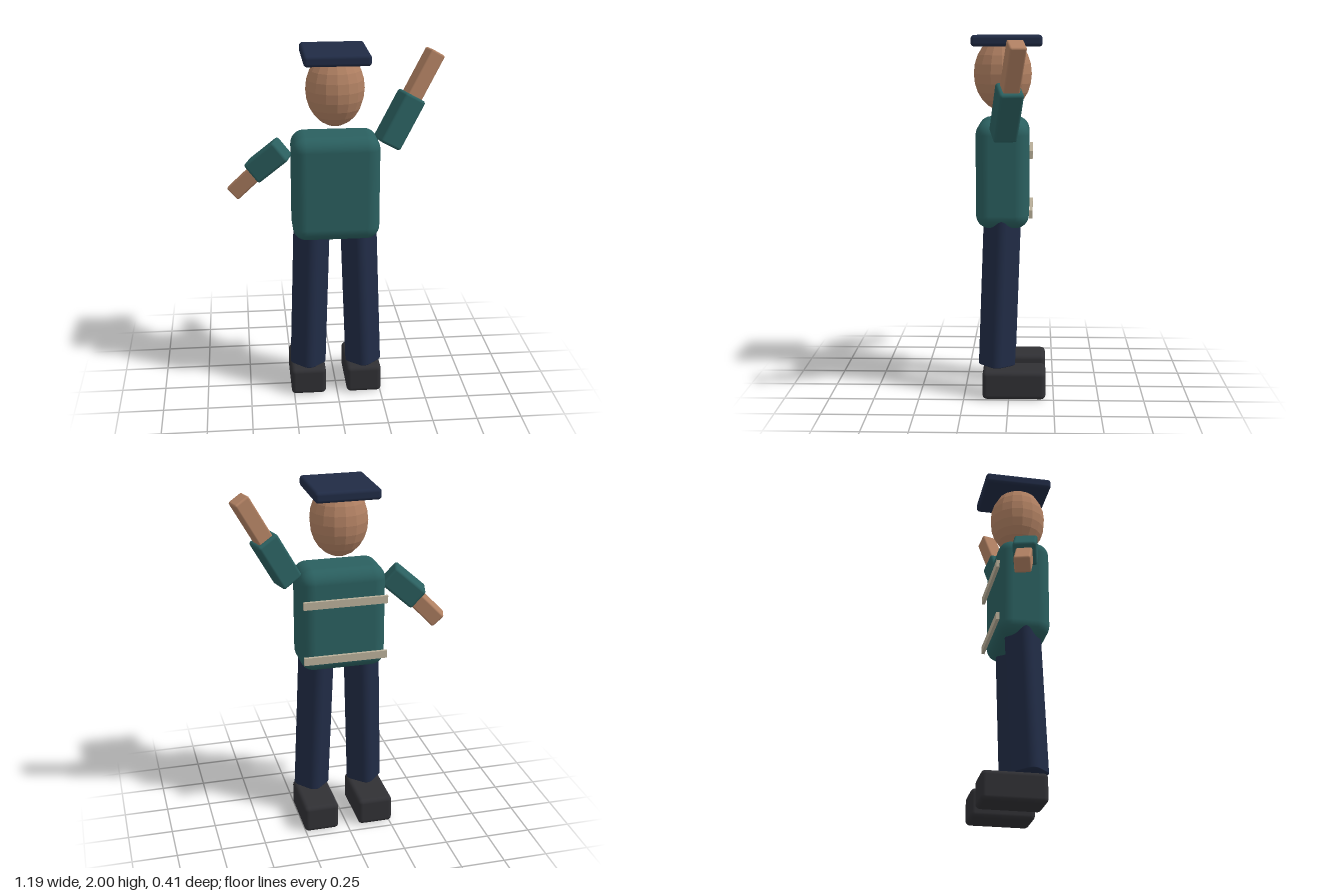
import * as THREE from 'three';
import { RoundedBoxGeometry } from 'three/addons/geometries/RoundedBoxGeometry.js';

const CX = -0.005; // body centre line

const mat = (color) => new THREE.MeshStandardMaterial({ color });

export function createModel() {
  const model = new THREE.Group();
  const shirt = mat(0x2a5f5f);
  const navy = mat(0x202b45);
  const skin = mat(0xb08062);
  const shoe = mat(0x303034);
  const strapMat = mat(0xb8ae98);

  const add = (name, geometry, material, x, y, z) => {
    const mesh = new THREE.Mesh(geometry, material);
    mesh.name = name;
    mesh.position.set(x, y, z);
    model.add(mesh);
    return mesh;
  };
  const block = (name, material, size, pos, radius) =>
    add(name, new RoundedBoxGeometry(...size, 4, radius), material, ...pos);

  // Square limb running from point a to point b; endSharpness flattens the end rounding
  const limb = (name, material, a, b, width, radius, endSharpness = 1) => {
    const start = new THREE.Vector3(...a);
    const end = new THREE.Vector3(...b);
    const length = start.distanceTo(end);
    const geometry = new RoundedBoxGeometry(width, width, length * endSharpness, 4, radius);
    geometry.scale(1, 1, 1 / endSharpness);
    const mid = start.clone().lerp(end, 0.5);
    add(name, geometry, material, mid.x, mid.y, mid.z).lookAt(end);
  };

  // Torso, head and flat cap
  block('torso', shirt, [0.48, 0.588, 0.29], [CX, 1.249, 0.035], 0.075);
  const headMat = mat(0xb08062);
  headMat.flatShading = true;
  add('head', new THREE.SphereGeometry(0.16, 16, 12), headMat, CX, 1.79, 0.037).scale.y = 1.28;
  block('cap', navy, [0.355, 0.06, 0.385], [CX, 1.97, 0.012], 0.018);

  // Legs and shoes
  for (const [side, s] of [['left', 1], ['right', -1]]) {
    limb(side + 'Leg', navy, [CX + s * 0.131, 1.02, 0.037], [CX + s * 0.16, 0.172, 0.067], 0.17, 0.045, 4);
    block(side + 'Shoe', shoe, [0.2, 0.16, 0.35], [CX + s * 0.16, 0.08, -0.03], 0.025);
  }

  // Raised left arm
  limb('leftSleeve', shirt, [0.278, 1.47, 0.028], [0.422, 1.73, -0.012], 0.13, 0.016);
  limb('leftForearm', skin, [0.4, 1.69, -0.006], [0.55, 1.96, -0.05], 0.09, 0.011);

  // Lowered right arm
  limb('rightSleeve', shirt, [-0.289, 1.461, 0.029], [-0.451, 1.319, -0.015], 0.13, 0.016);
  limb('rightForearm', skin, [-0.42, 1.335, -0.008], [-0.56, 1.19, -0.052], 0.09, 0.011);

  // Back straps
  for (const [name, y] of [['upperStrap', 1.366], ['lowerStrap', 1.042]]) {
    add(name, new THREE.BoxGeometry(0.47, 0.043, 0.018), strapMat, CX, y, -0.121);
  }

  return model;
}
